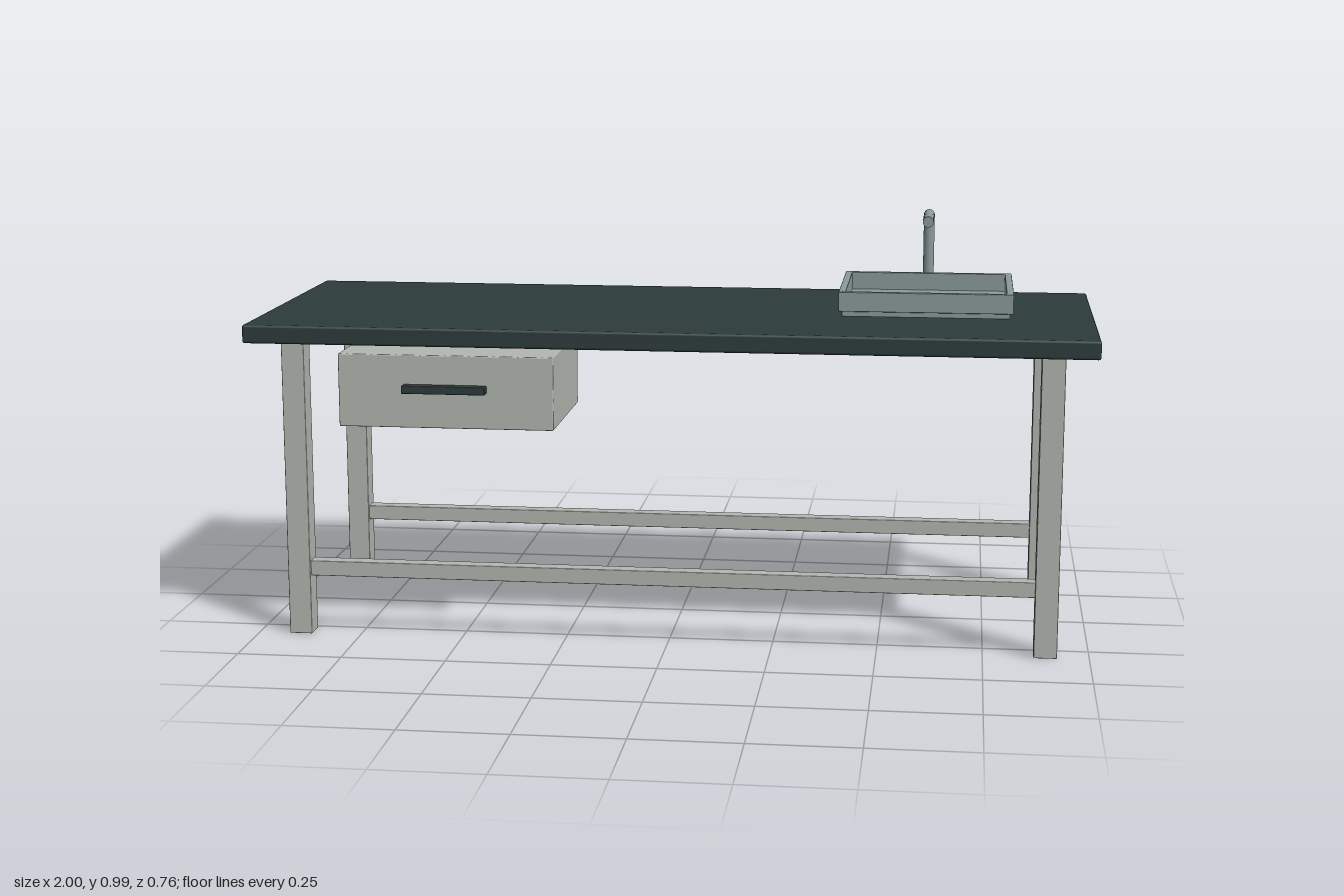
import * as THREE from 'three';
import { RoundedBoxGeometry } from 'three/addons/geometries/RoundedBoxGeometry.js';

const material = (name, color) => {
  const m = new THREE.MeshStandardMaterial({ color });
  m.name = name;
  return m;
};

export function createModel() {
  const model = new THREE.Group();
  model.name = 'sinkTable';
  const dark = material('dark slate', 0x2d3b3b);
  const paint = material('pale grey paint', 0xb2b8b1);
  const steel = material('brushed steel', 0x8b9a9a);

  const add = (name, geometry, mat, x, y, z, parent = model) => {
    const mesh = new THREE.Mesh(geometry, mat);
    mesh.name = name;
    mesh.position.set(x, y, z);
    parent.add(mesh);
    return mesh;
  };
  // Box given by its lower and upper corners, with slightly eased edges
  const box = (name, mat, [x0, y0, z0], [x1, y1, z1], r = 0.002, parent = model) =>
    add(name, new RoundedBoxGeometry(x1 - x0, y1 - y0, z1 - z0, 2, r), mat,
      (x0 + x1) / 2, (y0 + y1) / 2, (z0 + z1) / 2, parent);

  box('tableTop', dark, [-1, 0.724, -0.379], [1, 0.768, 0.379], 0.006);

  // Four legs and the two long rails between them
  for (const sz of [-1, 1]) {
    const z = sz * 0.289;
    const side = sz > 0 ? 'front' : 'back';
    for (const sx of [-1, 1]) {
      const x = sx * 0.897;
      box(`${side}${sx > 0 ? 'Left' : 'Right'}Leg`, paint,
        [x - 0.0275, 0, z - 0.0275], [x + 0.0275, 0.725, z + 0.0275]);
    }
    box(`${side}Rail`, paint, [-0.88, 0.144, z - 0.0185], [0.88, 0.181, z + 0.0185]);
  }

  // Drawer hung under the top, with its bar handle
  box('drawer', paint, [-0.78, 0.523, -0.018], [-0.264, 0.698, 0.341], 0.003);
  box('drawerHandle', dark, [-0.622, 0.61, 0.345], [-0.422, 0.629, 0.371]);

  // Open rectangular basin: a floor and four walls
  const basin = new THREE.Group();
  basin.name = 'basin';
  model.add(basin);
  const x0 = 0.39, x1 = 0.806, z0 = -0.25, z1 = 0.123, t = 0.017, y0 = 0.786, y1 = 0.833;
  box('basinFloor', steel, [0.398, 0.773, -0.243], [0.798, 0.79, 0.116], 0.002, basin);
  box('basinFrontWall', steel, [x0, y0, z1 - t], [x1, y1, z1], 0.002, basin);
  box('basinBackWall', steel, [x0, y0, z0], [x1, y1, z0 + t], 0.002, basin);
  box('basinRightWall', steel, [x0, y0, z0 + t], [x0 + t, y1, z1 - t], 0.002, basin);
  box('basinLeftWall', steel, [x1 - t, y0, z0 + t], [x1, y1, z1 - t], 0.002, basin);

  // Faucet: upright pipe and horizontal spout
  const faucet = new THREE.Group();
  faucet.name = 'faucet';
  model.add(faucet);
  add('faucetPost', new THREE.CylinderGeometry(0.0135, 0.0135, 0.21, 24), steel, 0.597, 0.872, -0.273, faucet);
  add('faucetSpout', new THREE.CylinderGeometry(0.0135, 0.0135, 0.168, 24), steel, 0.597, 0.977, -0.188, faucet)
    .rotation.x = Math.PI / 2;

  return model;
}
